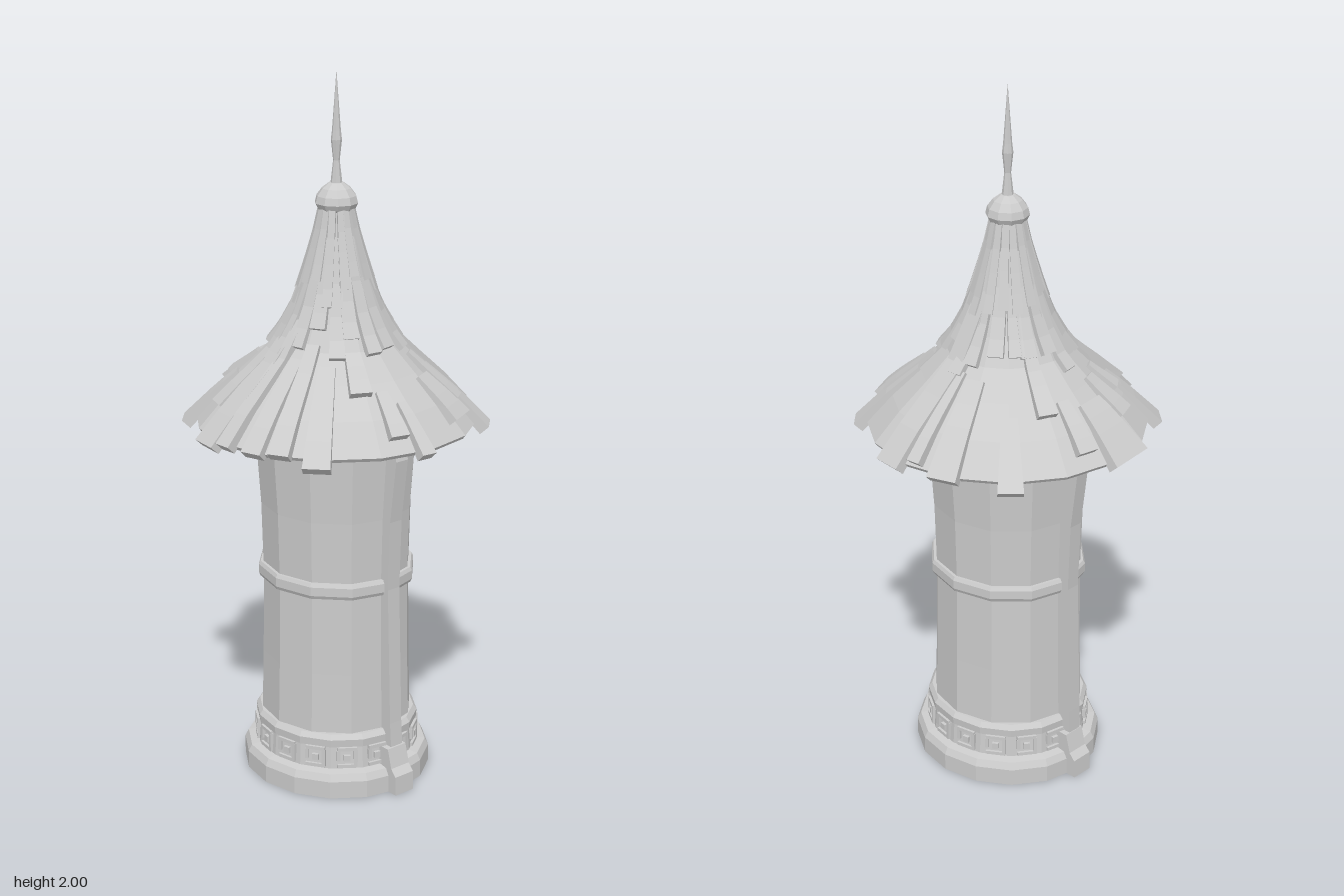
import * as THREE from 'three';

const mat = new THREE.MeshStandardMaterial({ color: 0xcccccc, flatShading: true, side: THREE.DoubleSide });

// Roof slope as [radius, height], eave to peak
const ROOF = [[0.392, 1.045], [0.32, 1.125], [0.24, 1.2], [0.17, 1.27], [0.13, 1.34], [0.1, 1.41], [0.075, 1.5], [0.05, 1.6], [0.042, 1.65]];

function roofY(r) {
  let i = 0;
  while (i < ROOF.length - 2 && r < ROOF[i + 1][0]) i++;
  const [r0, y0] = ROOF[i], [r1, y1] = ROOF[i + 1];
  return y0 + ((r - r0) / (r1 - r0)) * (y1 - y0);
}

function add(parent, name, geometry) {
  const mesh = new THREE.Mesh(geometry, mat);
  mesh.name = name;
  parent.add(mesh);
  return mesh;
}

function lathe(parent, name, profile, sides) {
  return add(parent, name, new THREE.LatheGeometry(profile.map(([r, y]) => new THREE.Vector2(r, y)), sides));
}

// Tapered plank that hugs the roof slope; angle runs from +x towards +z
function plankGeometry(angle, r0, r1, width, thick) {
  const steps = 4, pos = [], idx = [];
  const c = Math.cos(angle), s = Math.sin(angle);
  for (let i = 0; i <= steps; i++) {
    const t = i / steps, r = r0 + (r1 - r0) * t;
    const slope = Math.atan2(roofY(r - 0.01) - roofY(r + 0.01), 0.02);
    const w = width * (0.6 + 0.4 * t) / 2;
    // corners: bottom pair sunk in the roof, top pair raised along the slope normal
    for (const [side, lift] of [[-1, -0.012], [1, -0.012], [1, thick * (0.35 + 0.65 * t)], [-1, thick * (0.35 + 0.65 * t)]]) {
      const rr = r + Math.sin(slope) * lift, y = roofY(r) + Math.cos(slope) * lift;
      pos.push(rr * c - side * w * s, y, rr * s + side * w * c);
    }
    if (i < steps) {
      for (let k = 0; k < 4; k++) {
        const a = i * 4 + k, b = i * 4 + (k + 1) % 4;
        idx.push(a, b, b + 4, a, b + 4, a + 4);
      }
    }
  }
  const e = steps * 4;
  idx.push(0, 2, 1, 0, 3, 2, e, e + 1, e + 2, e, e + 2, e + 3);
  const g = new THREE.BufferGeometry();
  g.setAttribute('position', new THREE.Float32BufferAttribute(pos, 3));
  g.setIndex(idx);
  g.computeVertexNormals();
  return g;
}

// Upright prism from a (z, y) side profile, centred on x = 0
function sideExtrude(points, width) {
  const shape = new THREE.Shape(points.map(([z, y]) => new THREE.Vector2(z, y)));
  const g = new THREE.ExtrudeGeometry(shape, { depth: width, bevelEnabled: false });
  g.translate(0, 0, -width / 2);
  g.rotateY(-Math.PI / 2);
  return g;
}

function buildBody(model) {
  const body = new THREE.Group();
  body.name = 'body';
  body.scale.z = 1.05;
  model.add(body);
  lathe(body, 'plinth', [[0, 0], [0.262, 0], [0.262, 0.05], [0.252, 0.07], [0.225, 0.075]], 16);
  lathe(body, 'frieze', [[0.228, 0.06], [0.222, 0.15]], 16);
  lathe(body, 'lowerBand', [[0.2, 0.14], [0.226, 0.14], [0.228, 0.162], [0.218, 0.176], [0.2, 0.176]], 16);
  lathe(body, 'shaft', [[0.213, 0.15], [0.208, 0.35], [0.205, 0.6], [0.21, 0.8], [0.222, 0.98], [0.226, 1.08]], 12);
  lathe(body, 'middleBand', [[0.19, 0.58], [0.214, 0.58], [0.219, 0.59], [0.219, 0.615], [0.214, 0.625], [0.19, 0.625]], 12);
  lathe(body, 'collar', [[0.21, 1.02], [0.238, 1.03], [0.242, 1.1]], 12);

  // Carved square frames around the frieze
  const count = 16, bars = [
    [0, 0.028, 0.055, 0.01], [0, -0.024, 0.055, 0.01],
    [0.024, 0, 0.01, 0.052], [-0.024, 0.008, 0.01, 0.03], [0, 0, 0.018, 0.018],
  ];
  for (let i = 0; i < count; i++) {
    const frame = new THREE.Group();
    frame.name = 'friezeCarving';
    frame.rotation.y = ((i + 0.5) / count) * Math.PI * 2;
    for (const [x, y, w, h] of bars) {
      add(frame, 'carvedBar', new THREE.BoxGeometry(w, h, 0.014)).position.set(x, 0.107 + y, 0.222);
    }
    body.add(frame);
  }
}

// Vertical ribs on the front and back, each standing on a foot block
function buildRibs(model) {
  for (const [name, turn, out] of [['frontRib', 0, 0], ['backRib', Math.PI, 0.008]]) {
    const rib = new THREE.Group();
    rib.name = name;
    rib.rotation.y = turn;
    add(rib, 'ribStrip', sideExtrude([
      [0.18, 0.05], [0.265, 0.05], [0.254 + out, 0.2], [0.24 + out, 0.6], [0.247 + out, 0.8],
      [0.27 + out, 0.98], [0.265 + out, 1.0], [0.24, 1.01], [0.24, 1.08], [0.18, 1.08],
    ], 0.042)).position.x = 0.005;
    add(rib, 'ribFoot', sideExtrude([[0.2, 0], [0.3, 0], [0.298, 0.055], [0.28, 0.075], [0.265, 0.13], [0.2, 0.13]], 0.066));
    model.add(rib);
  }
}

function buildRoof(model) {
  const roof = new THREE.Group();
  roof.name = 'roof';
  model.add(roof);
  lathe(roof, 'roofCone', [[0.2, 1.13], [0.3, 1.085], [0.385, 1.035], ...ROOF], 16);

  // Large planks: angle in degrees, inner radius, outer radius, width
  const planks = [
    [-97, 0.27, 0.402, 0.145], [-79, 0.25, 0.36, 0.06], [-66, 0.15, 0.275, 0.055], [-45, 0.27, 0.415, 0.07],
    [-19, 0.2, 0.402, 0.085], [-5, 0.19, 0.385, 0.04], [6, 0.1, 0.408, 0.085], [47, 0.24, 0.41, 0.07],
    [64, 0.25, 0.36, 0.1], [53, 0.2, 0.33, 0.05], [94, 0.29, 0.404, 0.045], [103, 0.26, 0.36, 0.055],
    [116, 0.14, 0.265, 0.06], [137, 0.2, 0.415, 0.075], [152, 0.16, 0.395, 0.06], [163, 0.19, 0.4, 0.06],
    [177, 0.13, 0.4, 0.05], [187, 0.15, 0.41, 0.085], [199, 0.14, 0.335, 0.06], [222, 0.27, 0.412, 0.075],
    [233, 0.22, 0.29, 0.05], [-113, 0.23, 0.33, 0.07],
  ];
  for (const [deg, r0, r1, w] of planks) {
    add(roof, 'roofPlank', plankGeometry(THREE.MathUtils.degToRad(deg), r0, r1, w, 0.02));
  }

  // Two staggered rings of narrow planks near the peak
  let seed = 7;
  const rand = () => (seed = (seed * 16807) % 2147483647) / 2147483647;
  for (const [count, inner, outer, spread, w] of [[20, 0.06, 0.135, 0.07, 0.044], [16, 0.043, 0.085, 0.03, 0.028]]) {
    for (let i = 0; i < count; i++) {
      const angle = ((i + rand() * 0.5) / count) * Math.PI * 2;
      add(roof, 'peakPlank', plankGeometry(angle, inner, outer + rand() * spread, w, 0.013));
    }
  }
}

function buildFinial(model) {
  lathe(model, 'roofCap', [[0.04, 1.62], [0.052, 1.63], [0.06, 1.645], [0.055, 1.665], [0.04, 1.685], [0.02, 1.7], [0, 1.7]], 10);
  lathe(model, 'spire', [[0.017, 1.69], [0.009, 1.76], [0.015, 1.815], [0.012, 1.84], [0.006, 1.92], [0, 2]], 8);
}

export function createModel() {
  const model = new THREE.Group();
  model.name = 'tower';
  buildBody(model);
  buildRibs(model);
  buildRoof(model);
  buildFinial(model);
  return model;
}
